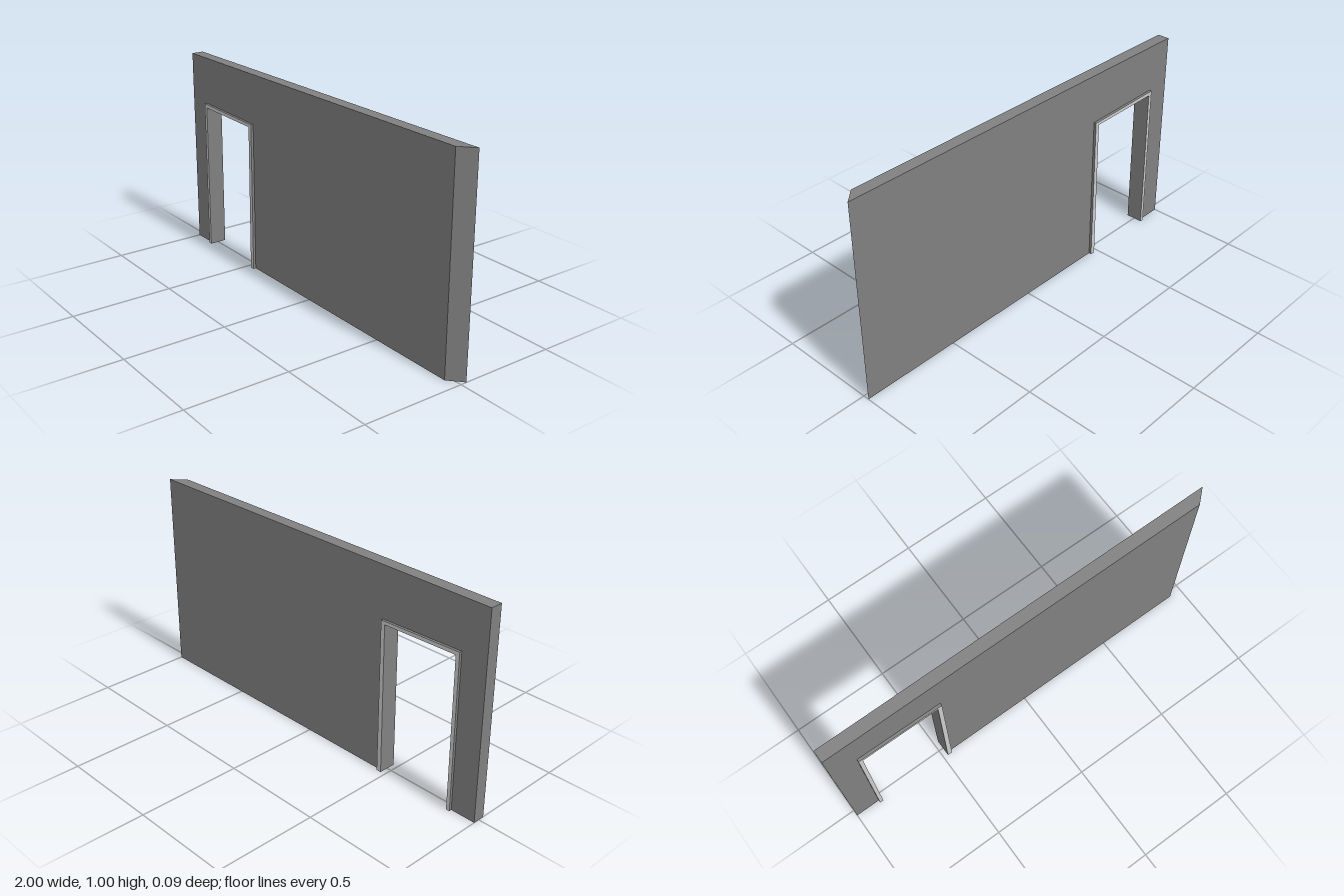
import * as THREE from 'three';

const WALL_HALF = 0.03;   // half thickness of the wall
const FRAME_HALF = 0.043; // half thickness of the door frame
const MITRE = 0.065;      // set-back of the slanted end

const shapeFrom = (pts) => new THREE.Shape(pts.map(([x, y]) => new THREE.Vector2(x, y)));

// Extrudes an outline evenly to both sides of z = 0
function slab(pts, half) {
  const geo = new THREE.ExtrudeGeometry(shapeFrom(pts), { depth: 2 * half, bevelEnabled: false });
  return geo.translate(0, 0, -half);
}

export function createModel() {
  const group = new THREE.Group();
  const wallMat = new THREE.MeshStandardMaterial({ color: 0x808080 });
  const trimMat = new THREE.MeshStandardMaterial({ color: 0xcccccc });

  // Wall with a doorway notch, hidden behind the frame
  const wallGeo = slab([
    [-1, 0], [-0.867, 0], [-0.864, 0.755], [-0.461, 0.746], [-0.463, 0],
    [1, 0], [1, 1], [-1, 1],
  ], WALL_HALF);

  // Mitred end: pull the front edge back
  const pos = wallGeo.attributes.position;
  for (let i = 0; i < pos.count; i++) {
    if (pos.getX(i) > 0.99 && pos.getZ(i) > 0) pos.setX(i, 1 - MITRE);
  }
  wallGeo.computeVertexNormals();
  const wall = new THREE.Mesh(wallGeo, wallMat);
  wall.name = 'wall';

  // Door frame: slightly skewed inverted U, pale on its front and back faces
  const frame = new THREE.Mesh(slab([
    [-0.876, 0], [-0.858, 0], [-0.854, 0.746], [-0.471, 0.738], [-0.476, 0],
    [-0.452, 0], [-0.45, 0.754], [-0.873, 0.765],
  ], FRAME_HALF), [trimMat, wallMat]);
  frame.name = 'doorFrame';

  group.add(wall, frame);
  return group;
}
